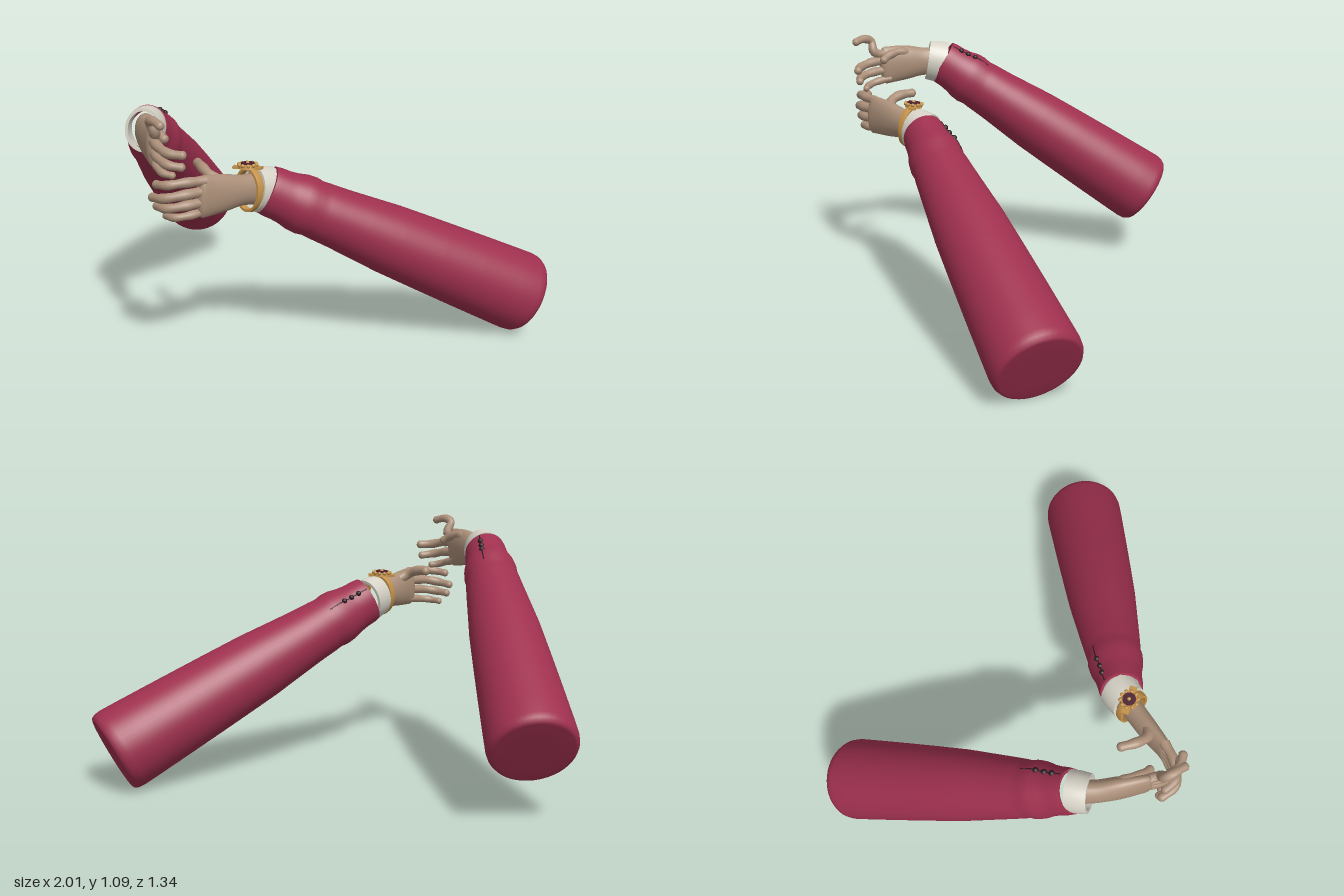
import * as THREE from 'three';

const V3 = (p) => new THREE.Vector3(p[0], p[1], p[2]);
const UP = new THREE.Vector3(0, 1, 0);

const mat = (name, color) => {
  const m = new THREE.MeshStandardMaterial({ color });
  m.name = name;
  return m;
};

// Skin over elliptical rings: each station is [x, y, z, halfSide, halfUp].
// Repeating a station makes a hard edge; dir fixes all rings to one axis.
function loft(stations, { dir = null, ref = UP, sides = 32 } = {}) {
  const pos = [], idx = [];
  const n = stations.length;
  stations.forEach((s, k) => {
    const T = dir ? dir.clone() : V3(stations[Math.min(k + 1, n - 1)]).sub(V3(stations[Math.max(k - 1, 0)]));
    T.normalize();
    const S = new THREE.Vector3().crossVectors(ref, T).normalize();
    const U = new THREE.Vector3().crossVectors(T, S);
    for (let i = 0; i < sides; i++) {
      const a = (i / sides) * Math.PI * 2;
      const p = V3(s).addScaledVector(S, s[3] * Math.cos(a)).addScaledVector(U, s[4] * Math.sin(a));
      pos.push(p.x, p.y, p.z);
      if (k < n - 1) {
        const j = (i + 1) % sides, A = k * sides, B = A + sides;
        idx.push(A + i, A + j, B + j, A + i, B + j, B + i);
      }
    }
  });
  const g = new THREE.BufferGeometry();
  g.setAttribute('position', new THREE.Float32BufferAttribute(pos, 3));
  g.setIndex(idx);
  g.computeVertexNormals();
  return g;
}

// Tapered finger with knuckle swelling and a round tip
function fingerGeometry(points, r, ref) {
  const curve = new THREE.CatmullRomCurve3(points.map(V3));
  const len = curve.getLength(), st = [];
  const add = (t, rad) => st.push([...curve.getPointAt(t).toArray(), rad, rad]);
  const tip = 1 - (r * 0.8) / len;
  for (let i = 0; i <= 16; i++) {
    const t = (i / 16) * tip;
    add(t, r * (1 - 0.2 * t + 0.06 * Math.cos(t * Math.PI * 6)));
  }
  for (let i = 1; i <= 5; i++) {
    const a = (i / 5) * Math.PI / 2;
    add(tip + (1 - tip) * Math.sin(a), r * 0.85 * Math.cos(a));
  }
  return loft(st, { ref, sides: 12 });
}

// Palm: smooth spline through a few sections, rounded at the knuckles
function palmGeometry(sections) {
  const path = new THREE.CatmullRomCurve3(sections.map(V3));
  const size = new THREE.CatmullRomCurve3(sections.map((s) => new THREE.Vector3(s[3], s[4], 0)));
  const st = [];
  for (let i = 0; i <= 20; i++) {
    const p = path.getPoint(i / 20), q = size.getPoint(i / 20);
    st.push([p.x, p.y, p.z, q.x, q.y]);
  }
  const e = st[20], d = path.getTangent(1);
  for (let i = 1; i <= 4; i++) {
    const a = (i / 4) * Math.PI / 2, c = Math.cos(a), s = 0.025 * Math.sin(a);
    st.push([e[0] + d.x * s, e[1] + d.y * s, e[2] + d.z * s, e[3] * c, e[4] * c]);
  }
  return loft(st, { sides: 24 });
}

// Open band: outer and inner wall with hard edges
function bandGeometry(c, dir, width, a, b, thick, flare = 0) {
  const d = dir.clone().normalize();
  const at = (s, k, f) => [c[0] + d.x * s, c[1] + d.y * s, c[2] + d.z * s, a - k + f, b - k + f];
  const o0 = at(-width / 2, 0, flare), om = at(0, -0.003, flare / 2), o1 = at(width / 2, 0, 0);
  const i1 = at(width / 2, thick, 0), i0 = at(-width / 2, thick, flare);
  return loft([i0, o0, o0, om, o1, o1, i1, i1, i0], { dir: d, sides: 40 });
}

// Sleeve radius along the arm: [t, radius]
const PROFILE = [[0, 0.101], [0.02, 0.105], [0.05, 0.106], [0.08, 0.111], [0.11, 0.121], [0.14, 0.124],
  [0.165, 0.119], [0.19, 0.122], [0.22, 0.124], [0.26, 0.127], [0.33, 0.135], [0.45, 0.149], [0.6, 0.159],
  [0.75, 0.168], [0.9, 0.176], [0.965, 0.179], [0.985, 0.176], [0.997, 0.168], [1, 0.155]];
const radiusAt = (t) => {
  const k = Math.max(1, PROFILE.findIndex((p) => p[0] >= t));
  const [t0, r0] = PROFILE[k - 1], [t1, r1] = PROFILE[k];
  return r0 + ((r1 - r0) * (t - t0)) / (t1 - t0);
};
const sideScale = (t) => 0.87 + 0.13 * Math.min(1, t / 0.25);

export function createModel() {
  const model = new THREE.Group();
  model.name = 'pairOfArms';
  const sleeveMat = mat('crimson cloth', 0x9e304e);
  const cuffMat = mat('off-white linen', 0xd6d2c6);
  const skinMat = mat('skin', 0xab8f79);
  const goldMat = mat('gold', 0xc4924a);
  const darkMat = mat('dark buttons', 0x2c1c22);
  const dialMat = mat('dark red dial', 0x4c1f30);

  const add = (parent, name, geo, m) => {
    const mesh = new THREE.Mesh(geo, m);
    mesh.name = name;
    parent.add(mesh);
    return mesh;
  };

  function arm(name, o) {
    const g = new THREE.Group();
    g.name = name;
    model.add(g);
    const w = V3(o.wrist), e = V3(o.elbow), d = e.clone().sub(w).normalize();
    const S = new THREE.Vector3().crossVectors(UP, d).normalize();
    const U = new THREE.Vector3().crossVectors(d, S);
    const at = (t) => w.clone().lerp(e, t);

    // Sleeve with wrist rim, soft folds and a closed upper end
    const ring = (t, k = 1) => {
      const r = radiusAt(t) * o.scale * k;
      return [...at(t).toArray(), r * sideScale(t), r];
    };
    const st = [ring(0.02, 0.8), ring(0, 0.88), ring(0, 0.88), ring(0), ring(0)];
    PROFILE.slice(1).forEach(([t]) => st.push(ring(t)));
    st.push(ring(1, 0.6), ring(1, 0));
    add(g, 'sleeve', loft(st, { dir: d, sides: 48 }), sleeveMat);

    // Seam and three buttons on the sleeve
    const onSleeve = (t) => {
      const r = radiusAt(t) * o.scale;
      return at(t).addScaledVector(S, r * sideScale(t) * Math.cos(o.angle)).addScaledVector(U, r * Math.sin(o.angle));
    };
    const seam = [0.005, 0.04, 0.08, 0.12, 0.16].map(onSleeve);
    add(g, 'sleeveSeam', new THREE.TubeGeometry(new THREE.CatmullRomCurve3(seam), 16, 0.003, 6), darkMat);
    for (const t of [0.04, 0.07, 0.1]) {
      const b = add(g, 'button', new THREE.SphereGeometry(0.012, 12, 8), darkMat);
      b.position.copy(onSleeve(t));
    }

    // Shirt cuff
    add(g, 'shirtCuff', bandGeometry(o.cuff, V3(o.cuffDir), 0.085, 0.076, 0.09, 0.012, 0.004), cuffMat);

    // Hand
    const hand = new THREE.Group();
    hand.name = 'hand';
    g.add(hand);
    add(hand, 'palm', palmGeometry(o.palm), skinMat);
    for (const [part, r, pts, ref] of o.fingers) {
      add(hand, part, fingerGeometry(pts, r, ref || UP), skinMat);
    }
    return g;
  }

  const left = arm('leftArm', {
    wrist: [0.035, 0.748, 0.245], elbow: [0.9, 0.17, -0.535], scale: 1, angle: 0.7,
    cuff: [0.02, 0.752, 0.262], cuffDir: [-0.35, 0.2, 0.9],
    palm: [[0.015, 0.755, 0.26, 0.046, 0.066], [-0.015, 0.767, 0.34, 0.044, 0.063],
      [-0.05, 0.775, 0.43, 0.04, 0.077], [-0.085, 0.783, 0.53, 0.028, 0.087]],
    fingers: [
      ['indexFinger', 0.021, [[-0.08, 0.847, 0.52], [-0.125, 0.852, 0.595], [-0.18, 0.845, 0.635], [-0.25, 0.835, 0.62]]],
      ['middleFinger', 0.022, [[-0.08, 0.805, 0.52], [-0.125, 0.805, 0.605], [-0.19, 0.793, 0.645], [-0.27, 0.78, 0.62]]],
      ['ringFinger', 0.021, [[-0.08, 0.762, 0.52], [-0.125, 0.76, 0.6], [-0.185, 0.75, 0.635], [-0.26, 0.742, 0.605]]],
      ['littleFinger', 0.018, [[-0.08, 0.722, 0.51], [-0.12, 0.716, 0.585], [-0.165, 0.71, 0.615], [-0.225, 0.705, 0.595]]],
      ['thumb', 0.024, [[-0.03, 0.805, 0.4], [-0.09, 0.84, 0.45], [-0.14, 0.862, 0.435], [-0.21, 0.868, 0.38]]],
    ],
  });

  const Z = new THREE.Vector3(0, 0, 1);
  arm('rightArm', {
    wrist: [-0.472, 0.967, 0.352], elbow: [-0.835, 0.32, -0.56], scale: 0.97, angle: 2.0,
    cuff: [-0.46, 0.965, 0.372], cuffDir: [0.38, 0.15, 0.9],
    palm: [[-0.465, 0.963, 0.36, 0.046, 0.066], [-0.425, 0.968, 0.42, 0.043, 0.064],
      [-0.36, 0.97, 0.49, 0.04, 0.08], [-0.29, 0.965, 0.56, 0.028, 0.086]],
    fingers: [
      ['indexFinger', 0.021, [[-0.3, 1.015, 0.55], [-0.25, 1.03, 0.595], [-0.262, 1.078, 0.615], [-0.23, 1.092, 0.635], [-0.17, 1.08, 0.66]], Z],
      ['middleFinger', 0.022, [[-0.3, 0.99, 0.55], [-0.235, 0.985, 0.605], [-0.17, 0.972, 0.63], [-0.1, 0.968, 0.61]]],
      ['ringFinger', 0.021, [[-0.3, 0.945, 0.55], [-0.235, 0.938, 0.605], [-0.175, 0.926, 0.63], [-0.11, 0.917, 0.605]]],
      ['littleFinger', 0.018, [[-0.3, 0.905, 0.54], [-0.25, 0.893, 0.59], [-0.21, 0.882, 0.61], [-0.16, 0.875, 0.6]]],
      ['thumb', 0.022, [[-0.39, 1.0, 0.45], [-0.33, 1.025, 0.5], [-0.28, 1.015, 0.535], [-0.23, 0.99, 0.55]]],
    ],
  });

  // Wristwatch: strap, studded case, dial and centre stone
  const watch = new THREE.Group();
  watch.name = 'wristwatch';
  left.add(watch);
  add(watch, 'strap', bandGeometry([-0.003, 0.763, 0.318], new THREE.Vector3(-0.28, 0.08, 0.95), 0.032, 0.07, 0.09, 0.01), goldMat);
  const head = new THREE.Group();
  head.name = 'watchHead';
  head.position.set(-0.014, 0.858, 0.308);
  head.rotation.set(-0.08, 0.28, 0.05);
  watch.add(head);
  add(head, 'case', new THREE.CylinderGeometry(0.034, 0.038, 0.018, 32), goldMat);
  add(head, 'dial', new THREE.CylinderGeometry(0.027, 0.027, 0.006, 32), dialMat).position.y = 0.011;
  add(head, 'centreStone', new THREE.SphereGeometry(0.008, 12, 8), goldMat).position.y = 0.013;
  for (let i = 0; i < 10; i++) {
    const a = (i / 10) * Math.PI * 2;
    add(head, 'stud', new THREE.SphereGeometry(0.008, 10, 8), goldMat)
      .position.set(Math.cos(a) * 0.036, 0.006, Math.sin(a) * 0.036);
  }
  for (const s of [-1, 1]) {
    add(head, 'lug', new THREE.BoxGeometry(0.03, 0.01, 0.03), goldMat).position.set(s * 0.045, -0.006, 0);
  }
  return model;
}
